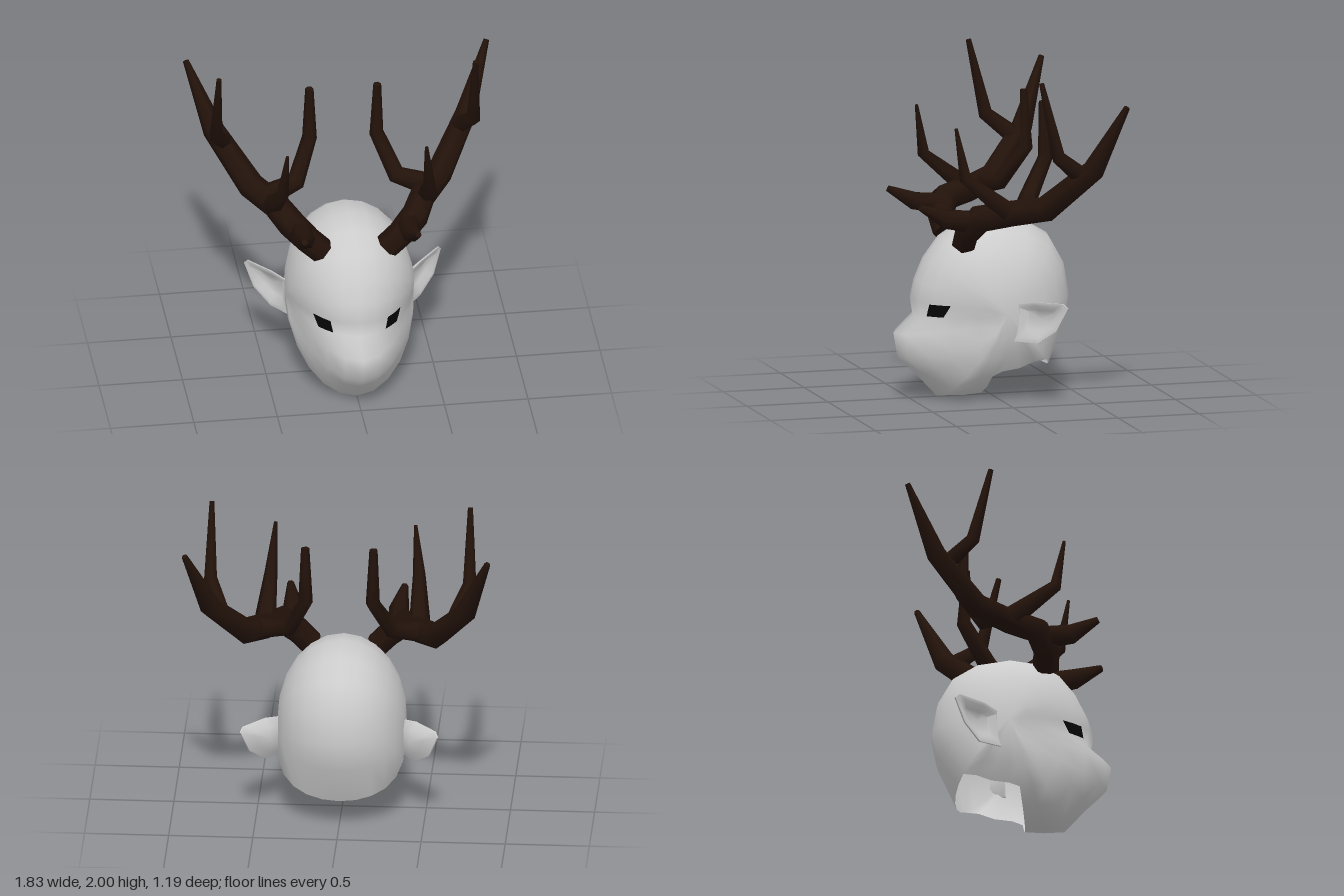
import * as THREE from 'three';
import { mergeVertices, toCreasedNormals } from 'three/addons/utils/BufferGeometryUtils.js';

// Skin a list of equal-length point rows; skip(i, j) leaves a cell open
function skin(rows, skip = () => false) {
  const n = rows[0].length, index = [];
  for (let i = 0; i < rows.length - 1; i++) {
    for (let j = 0; j < n - 1; j++) {
      if (skip(i, j)) continue;
      const a = i * n + j, b = a + n;
      index.push(a, b, b + 1, a, b + 1, a + 1);
    }
  }
  const g = new THREE.BufferGeometry().setFromPoints(rows.flat());
  g.setIndex(index);
  const merged = mergeVertices(g, 1e-4);
  merged.computeVertexNormals();
  return merged;
}

const V = (p) => new THREE.Vector3(...p);

// Head: every profile point sweeps an arc from the centre line to the two side poles
const HALF_WIDTH = 0.385, CENTRE_Y = 0.55, SOCKET = 1.5;
const fall = (phi, power) => Math.pow(Math.max(Math.cos(phi), 0), power);

function headGeometry() {
  // [z, y, taper in z, taper in y] from the crown over the face and chin to the back
  const profile = [
    [0, 1.08], [0.17, 1.05], [0.3, 0.97], [0.4, 0.84, 1], [0.46, 0.71, 1.15], [0.49, 0.6, 1.4], [0.475, 0.5, SOCKET],
    [0.595, 0.4, 1.95], [0.57, 0.25, 1.8], [0.46, 0.15, 1.5], [0.33, 0.01, 1.15, 0.95], [0.2, 0.005, 1, 0.95], [0.085, 0.015],
    [0, 0.05], [-0.14, 0.07], [-0.27, 0.12], [-0.33, 0.18, 0.55, 0.55],
    [-0.44, 0.42, 0.75], [-0.475, 0.6], [-0.44, 0.8], [-0.35, 0.96], [-0.2, 1.05], [0, 1.08],
  ];
  const cols = 12, neckBands = [12, 15], neckCells = 3;
  const rows = profile.map(([z, y, zTaper = 0.9, yTaper = 0.9]) => Array.from({ length: cols + 1 }, (_, j) => {
    const phi = (j / cols - 0.5) * Math.PI;
    return new THREE.Vector3(
      HALF_WIDTH * Math.sin(phi), CENTRE_Y + (y - CENTRE_Y) * fall(phi, yTaper), z * fall(phi, zTaper));
  }));
  // open neck behind the chin
  return skin(rows, (i, j) =>
    i >= neckBands[0] && i <= neckBands[1] && Math.abs(j + 0.5 - cols / 2) < neckCells);
}

// Eye: slanted dark patch lying just over the socket
function eyeGeometry() {
  const onFace = (x, y) => [x, y, 0.484 * fall(Math.asin(x / HALF_WIDTH), SOCKET) + 0.014];
  const row = (x0, x1, y) => [0, 0.5, 1].map((t) => V(onFace(x0 + (x1 - x0) * t, y)));
  return skin([row(0.172, 0.262, 0.592), row(0.157, 0.235, 0.52)]);
}

// Ear: rounded back, rim, and a shallow hollow facing forward and outward
function earGeometry() {
  const rim = [
    [0.36, 0.6, -0.05], [0.45, 0.625, -0.14], [0.575, 0.627, -0.285], [0.59, 0.6, -0.31],
    [0.54, 0.46, -0.255], [0.45, 0.375, -0.17], [0.36, 0.38, -0.04], [0.36, 0.6, -0.05],
  ].map(V);
  const centre = V([0.46, 0.52, -0.165]);
  const facing = V([0.75, 0, 0.66]);
  const ring = (scale, depth) =>
    rim.map((p) => p.clone().sub(centre).multiplyScalar(scale).add(centre).addScaledVector(facing, -depth));
  return toCreasedNormals(
    skin([ring(0, 0.065), ring(0.6, 0.045), ring(1, 0.01), ring(1, 0), ring(0.8, 0), ring(0.5, 0.033), ring(0, 0.037)]), 0.9);
}

// Antler branch: six-sided tapered tube along [x, y, z, radius] points
function branchGeometry(path, sides = 6) {
  const pts = path.map(([x, y, z]) => new THREE.Vector3(x, y, z));
  const last = pts.length - 1;
  let normal = new THREE.Vector3(0.3, 0.1, 1);
  const rows = pts.map((p, i) => {
    const before = p.clone().sub(pts[Math.max(i - 1, 0)]).normalize();
    const after = pts[Math.min(i + 1, last)].clone().sub(p).normalize();
    const t = before.add(after).normalize();
    normal = normal.clone().addScaledVector(t, -normal.dot(t)).normalize();
    const side = t.clone().cross(normal);
    return Array.from({ length: sides + 1 }, (_, k) => {
      const a = (k % sides) / sides * Math.PI * 2, r = path[i][3];
      return p.clone().addScaledVector(normal, r * Math.cos(a)).addScaledVector(side, -r * Math.sin(a));
    });
  });
  const cap = (p) => Array.from({ length: sides + 1 }, () => p.clone());
  return toCreasedNormals(skin([cap(pts[0]), ...rows, cap(pts[last])]), 1.2);
}

const BRANCHES = {
  mainBeam: [[0.192, 0.957, 0.215, 0.078], [0.275, 1.04, 0.22, 0.08], [0.37, 1.13, 0.17, 0.085],
    [0.44, 1.165, 0, 0.08], [0.565, 1.205, -0.18, 0.08], [0.755, 1.46, -0.42, 0.066], [0.9, 1.855, -0.585, 0.018]],
  browTine: [[0.33, 1.1, 0.16, 0.07], [0.315, 1.13, 0.37, 0.06], [0.34, 1.21, 0.53, 0.02]],
  frontTine: [[0.46, 1.18, 0.02, 0.065], [0.44, 1.39, 0.28, 0.038], [0.416, 1.69, 0.33, 0.01]],
  innerTine: [[0.48, 1.19, -0.08, 0.07], [0.3, 1.23, -0.15, 0.056], [0.2, 1.45, -0.285, 0.044], [0.203, 1.79, -0.27, 0.025]],
  upperTine: [[0.7, 1.41, -0.37, 0.055], [0.77, 1.55, -0.2, 0.043], [0.768, 2, -0.095, 0.016]],
};

export function createModel() {
  const model = new THREE.Group();
  const skinMat = new THREE.MeshStandardMaterial({ color: 0xcccccc, side: THREE.DoubleSide });
  const eyeMat = new THREE.MeshStandardMaterial({ color: 0x050505, side: THREE.DoubleSide });
  const antlerMat = new THREE.MeshStandardMaterial({ color: 0x22120a });
  const add = (parent, name, geometry, material) => {
    const mesh = new THREE.Mesh(geometry, material);
    mesh.name = name;
    parent.add(mesh);
  };

  add(model, 'head', headGeometry(), skinMat);

  // Eye, ear and antler on each side
  for (const [label, sign] of [['left', 1], ['right', -1]]) {
    const half = new THREE.Group();
    half.name = `${label}Side`;
    half.scale.x = sign;
    add(half, `${label}Eye`, eyeGeometry(), eyeMat);
    add(half, `${label}Ear`, earGeometry(), skinMat);
    const antler = new THREE.Group();
    antler.name = `${label}Antler`;
    for (const [name, path] of Object.entries(BRANCHES)) add(antler, name, branchGeometry(path), antlerMat);
    half.add(antler);
    model.add(half);
  }
  return model;
}
